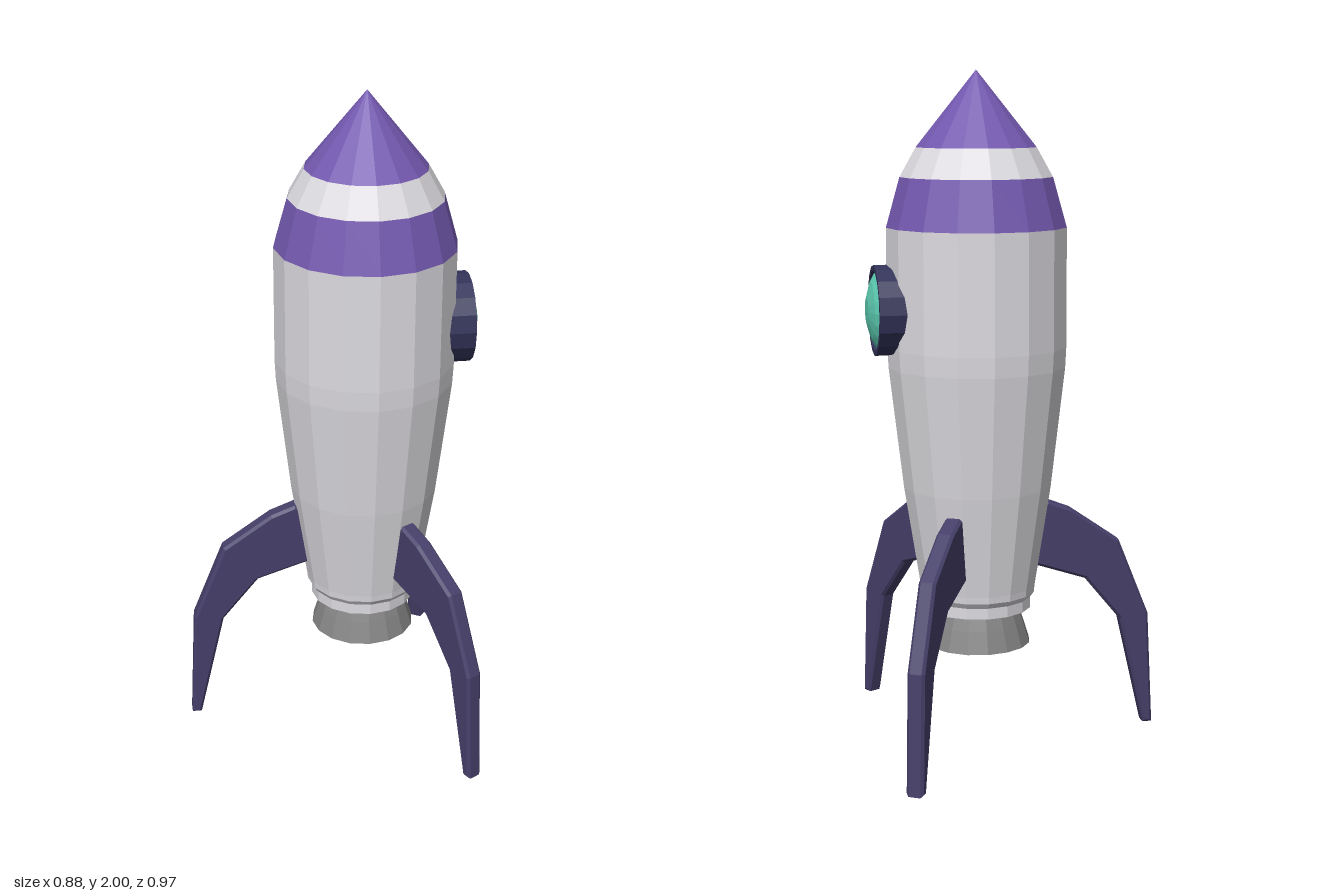
import * as THREE from 'three';

const AXIS_X = 0.11; // the hull axis sits beside the origin, as the three legs spread unevenly
const SIDES = 16;

const paint = (color) => new THREE.MeshStandardMaterial({ color, flatShading: true, side: THREE.DoubleSide });

export function createModel() {
  const rocket = new THREE.Group();
  rocket.name = 'rocket';
  rocket.position.x = AXIS_X;
  const model = new THREE.Group();
  model.add(rocket);

  const white = paint(0xdddbe0);
  const purple = paint(0x7459b0);
  const navy = paint(0x46406a);
  const darkNavy = paint(0x33335a);
  const teal = paint(0x5fd0b5);
  const grey = paint(0x858585);

  // Turned part from [radius, height] pairs, listed bottom to top
  const turned = (name, profile, material, parent = rocket) => {
    const points = profile.map(([r, y]) => new THREE.Vector2(r, y));
    const mesh = new THREE.Mesh(new THREE.LatheGeometry(points, SIDES), material);
    mesh.name = name;
    parent.add(mesh);
    return mesh;
  };

  // Hull with its bottom collar
  turned('hull', [
    [0, 0.405], [0.16, 0.405], [0.16, 0.438], [0.172, 0.455], [0.174, 0.475],
    [0.222, 0.78], [0.264, 1.14], [0.267, 1.2], [0.267, 1.55],
  ], white);

  // Striped nose
  turned('noseLowerBand', [[0.267, 1.55], [0.226, 1.695]], purple);
  turned('noseWhiteBand', [[0.226, 1.695], [0.178, 1.78]], white);
  turned('noseTip', [[0.178, 1.78], [0, 2]], purple);

  // Hollow engine nozzle
  turned('nozzle', [
    [0, 0.37], [0.11, 0.37], [0.145, 0.295], [0.158, 0.295],
    [0.138, 0.36], [0.122, 0.405],
  ], grey);

  // Round window on the +x side
  const porthole = new THREE.Group();
  porthole.name = 'porthole';
  porthole.position.y = 1.31;
  porthole.rotation.z = -Math.PI / 2;
  rocket.add(porthole);
  turned('windowRim', [[0.133, 0.2], [0.133, 0.305], [0.117, 0.305], [0.112, 0.295]], darkNavy, porthole);
  turned('windowGlass', [[0.116, 0.296], [0.085, 0.313], [0.04, 0.326], [0, 0.328]], teal, porthole);

  // Three curved legs; outline is [distance from axis, height]
  const outline = [
    [0.15, 0.53], [0.187, 0.521], [0.33, 0.474], [0.44, 0.34], [0.518, 0],
    [0.547, 0], [0.53, 0.352], [0.435, 0.59], [0.287, 0.693], [0.213, 0.722], [0.16, 0.7],
  ];
  const shape = new THREE.Shape(outline.map(([d, y]) => new THREE.Vector2(d, y)));
  const bevel = 0.008;
  const thickness = 0.052;
  const legGeometry = new THREE.ExtrudeGeometry(shape, {
    depth: thickness - 2 * bevel, bevelEnabled: true, bevelSegments: 1,
    bevelSize: bevel, bevelThickness: bevel, bevelOffset: -bevel,
  });
  legGeometry.translate(0, 0, bevel - thickness / 2);
  for (const [name, angle] of [['sideLeg', Math.PI], ['backLeg', Math.PI / 3], ['frontLeg', -Math.PI / 3]]) {
    const leg = new THREE.Mesh(legGeometry, navy);
    leg.name = name;
    leg.rotation.y = angle;
    rocket.add(leg);
  }

  return model;
}
